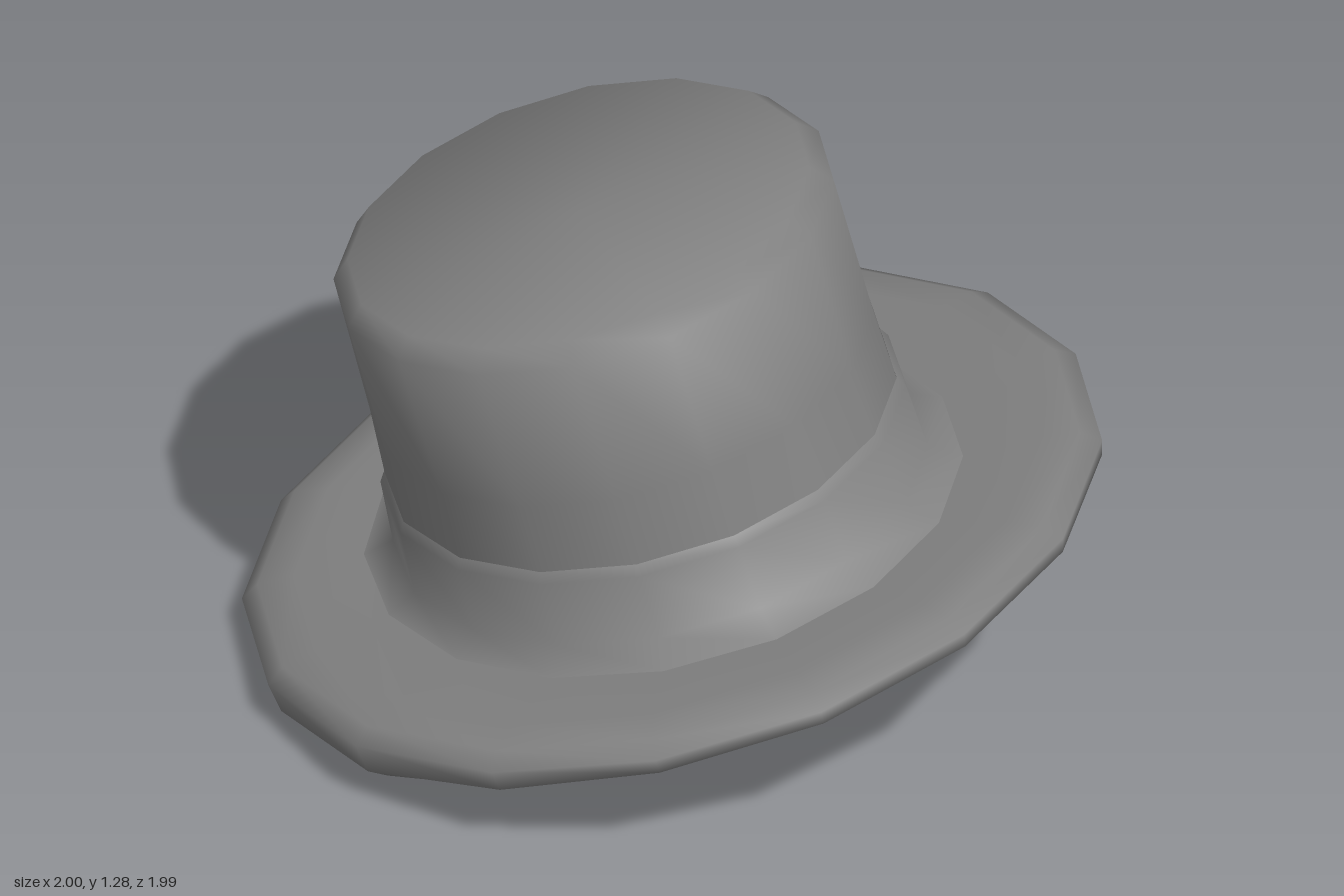
import * as THREE from 'three';
import { toCreasedNormals } from 'three/addons/utils/BufferGeometryUtils.js';

const SIDES = 16;
const CROWN_HEIGHT = 0.82;

// Shared shaping rule: an oval head opening that turns round towards the top,
// a brim raised a little at the back, and an underside drooping at the sides
function shape(v) {
  const r = Math.hypot(v.x, v.z);
  if (v.y < 0) {
    const side = Math.pow(v.x / r, 4) * (0.7 - 0.7 * v.z / r);
    v.y -= 0.09 * side * Math.min(1, -v.y / 0.035);
  }
  if (v.y < 0.06) v.y -= 0.022 * v.z;
  if (r < 0.75) {
    const low = Math.max(0, 1 - Math.max(0, v.y) / CROWN_HEIGHT);
    v.z *= 1 + low * (v.z > 0 ? 0.05 : 0.125);
  }
}

export function createModel() {
  const model = new THREE.Group();
  model.name = 'topHat';
  const material = new THREE.MeshStandardMaterial({ color: 0x828282, side: THREE.DoubleSide });

  // The whole hat is tipped back and to one side about the brim centre
  const hat = new THREE.Group();
  hat.name = 'tiltedHat';
  hat.position.y = 0.31;
  hat.quaternion.setFromUnitVectors(
    new THREE.Vector3(0, 1, 0),
    new THREE.Vector3(-0.16, 1, -0.21).normalize()
  );
  model.add(hat);

  // Lathe a [radius, height] profile, then apply the shaping rule
  function turned(name, profile) {
    const points = profile.map(([r, y]) => new THREE.Vector2(r, y));
    const geometry = new THREE.LatheGeometry(points, SIDES);
    const position = geometry.attributes.position;
    const v = new THREE.Vector3();
    for (let i = 0; i < position.count; i++) {
      v.fromBufferAttribute(position, i);
      shape(v);
      position.setXYZ(i, v.x, v.y, v.z);
    }
    const mesh = new THREE.Mesh(toCreasedNormals(geometry, 1.5), material);
    mesh.name = name;
    hat.add(mesh);
  }

  // Brim: underside, thick blunt rim, nearly flat top
  turned('brim', [
    [0.585, -0.075], [0.955, -0.04], [1.003, -0.022], [1.014, 0.015], [0.97, 0.045],
    [0.88, 0.055], [0.72, 0.05], [0.6, 0.05]
  ]);

  // Crown: near-straight wall, bevelled top edge and flat top
  turned('crown', [
    [0.59, 0.05], [0.59, 0.26], [0.586, 0.45], [0.592, CROWN_HEIGHT], [0.547, 0.865], [0, 0.87]
  ]);

  // Thin band round the foot of the crown, flaring softly into the brim
  turned('band', [[0.68, 0.05], [0.61, 0.085], [0.604, 0.25], [0.59, 0.275]]);

  // Hollow inside of the crown
  turned('lining', [
    [0, 0.855], [0.54, 0.85], [0.58, 0.81], [0.575, 0.4], [0.58, 0.2], [0.585, -0.075]
  ]);

  return model;
}
